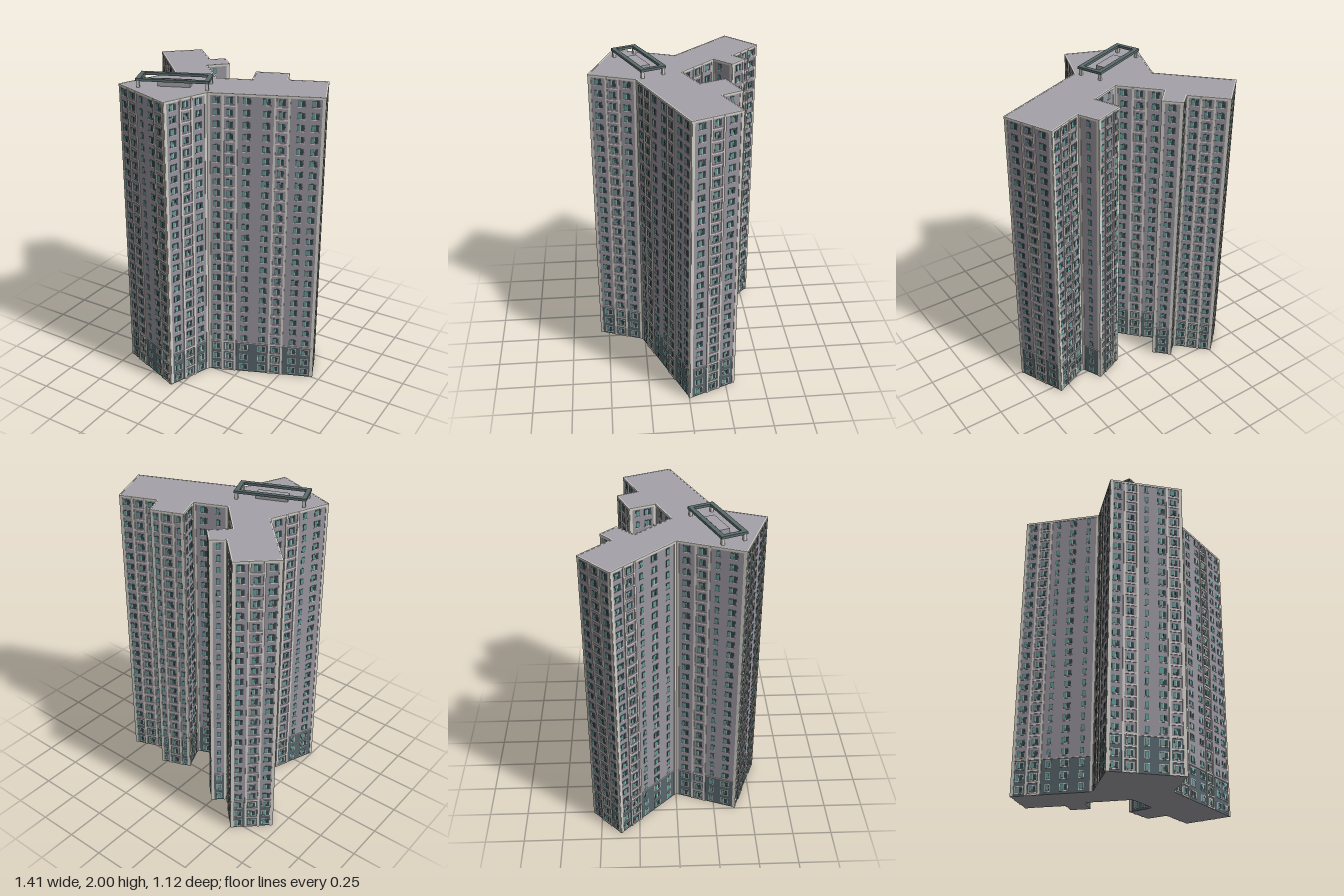
import * as THREE from 'three';
import { mergeGeometries } from 'three/addons/utils/BufferGeometryUtils.js';

const FLOORS = 26, BASE_FLOORS = 3, STEP = 0.0745;
const TOP = FLOORS * STEP, BASE = BASE_FLOORS * STEP;

// Footprint corners [x, z], each with the window columns of the wall that
// starts there: [type, place along the wall seen from outside, left to right].
// w = double window, n = narrow window, b = balcony bay
const PLAN = [
  [-0.505, -0.555, 'w.2 b.5 w.8'],
  [-0.32, -0.367, 'n.5'],
  [-0.245, -0.435, 'w.5'],
  [-0.157, -0.345, 'n.35'],
  [-0.262, -0.238, 'w.18 b.5 w.82'],
  [-0.05, -0.017, 'w.3 n.7'],
  [0.155, -0.105, 'n.3 w.68'],
  [0.09, -0.268, 'n.15 b.5 n.85'],
  [0.283, -0.343, 'n.5'],
  [0.343, -0.213, 'w.17 b.5 w.83'],
  [0.573, -0.308, 'w.2 b.5 w.8'],
  [0.7, -0.004, 'w.08 b.195 w.34 w.51 b.64 w.8 w.92'],
  [0.055, 0.265, 'w.2 b.5 w.8'],
  [-0.055, 0.555, 'w.1 b.29 n.5 w.71 b.88'],
  [-0.493, 0.39, 'w.15 b.38 n.6 w.82'],
  [-0.345, 0, 'w.1 b.27 n.45 w.65 n.86'],
  [-0.703, -0.37, 'w.17 b.5 w.83'],
];

export function createModel() {
  const model = new THREE.Group();
  model.name = 'apartmentTower';
  const mat = (name, color) => {
    const m = new THREE.MeshStandardMaterial({ color });
    m.name = name;
    return m;
  };
  const mats = {
    wall: mat('mauve grey wall', 0x99959f),
    roof: mat('light grey roof', 0xa4a2a9),
    base: mat('slate base', 0x57666c),
    trim: mat('pale stone trim', 0xd2d0c8),
    band: mat('pinkish white band', 0xdccfce),
    frame: mat('slate window frame', 0x56646a),
    glass: mat('dark glass', 0x35454a),
    teal: mat('teal glass', 0x5f9c96),
    steel: mat('grey steel', 0x5a6a6b),
  };
  const mesh = (parent, name, geometry, material) => {
    const m = new THREE.Mesh(geometry, material);
    m.name = name;
    parent.add(m);
  };
  const box = (w, h, d, x, y, z) => new THREE.BoxGeometry(w, h, d).translate(x, y, z);

  // Solid body, clad in slate on the lowest three floors; caps in roof grey
  const outline = new THREE.Shape(PLAN.map(([x, z]) => new THREE.Vector2(x, -z)));
  const prism = (y0, y1) => new THREE.ExtrudeGeometry(outline, { depth: y1 - y0, bevelEnabled: false })
    .rotateX(-Math.PI / 2).translate(0, y0, 0);
  mesh(model, 'baseStorey', prism(0, BASE), [mats.roof, mats.base]);
  mesh(model, 'towerBody', prism(BASE, TOP + 0.006), [mats.roof, mats.wall]);

  // Walls: each group has x along the wall and z pointing outward
  PLAN.forEach(([ax, az, columns], i) => {
    const [bx, bz] = PLAN[(i + 1) % PLAN.length];
    const dx = bx - ax, dz = bz - az, len = Math.hypot(dx, dz);
    const wall = new THREE.Group();
    wall.name = 'facade' + (i + 1);
    wall.position.set(bx, 0, bz);
    wall.rotation.y = Math.atan2(dz, -dx);
    model.add(wall);
    const parts = { trim: [], band: [], frame: [], glass: [], teal: [] };
    const put = (part, ...args) => parts[part].push(box(...args));

    // Corner strips and parapet rim
    for (const x of [0.009, len - 0.009]) put('trim', 0.018, TOP, 0.006, x, TOP / 2, 0);
    put('trim', len + 0.004, 0.014, 0.008, len / 2, TOP, 0);
    // Ledge over the base floors
    put('band', len, 0.004, 0.005, len / 2, BASE, 0.001);

    for (const column of columns.split(' ')) {
      const type = column[0], x = parseFloat(column.slice(1)) * len;
      const w = type === 'n' ? 0.024 : type === 'w' ? 0.046 : 0.04;
      if (type === 'b') {
        for (const s of [-1, 1]) put('trim', 0.013, TOP, 0.008, x + s * 0.041, TOP / 2, 0.002);
      }
      for (let f = 0; f < FLOORS; f++) {
        const y = (f + 0.52) * STEP, h = 0.04;
        // Pale surround on the slate floors, slate frame above
        if (f < BASE_FLOORS) put('trim', w + 0.008, h + 0.008, 0.003, x, y, 0);
        put('frame', w, h, 0.004, x, y, 0.0005);
        // Panes: narrow windows have one, the others a teal and a dark one
        if (type === 'n') {
          put('teal', w - 0.008, h - 0.008, 0.004, x, y, 0.0015);
        } else {
          put('teal', w * 0.36, h - 0.008, 0.004, x - w * 0.23, y, 0.0015);
          put('glass', w * 0.36, h - 0.008, 0.004, x + w * 0.23, y, 0.0015);
          put('trim', w * 0.06, h, 0.004, x, y, 0.002);
        }
        // Balcony floor band or window sill
        if (type === 'b') put('band', 0.072, 0.009, 0.007, x, f * STEP + 0.006, 0.001);
        else put('band', w + 0.004, 0.004, 0.006, x, y - h / 2 - 0.002, 0.001);
      }
    }
    const names = {
      trim: 'pilastersAndRim', band: 'ledges', frame: 'windowFrames',
      glass: 'darkPanes', teal: 'tealPanes',
    };
    for (const key in parts) {
      if (parts[key].length) mesh(wall, names[key], mergeGeometries(parts[key]), mats[key]);
    }
  });

  // Raised rectangular frame on posts, around a plant box
  const crown = new THREE.Group();
  crown.name = 'roofCrown';
  crown.position.set(-0.186, 0, 0.243);
  crown.rotation.y = 0.392;
  model.add(crown);
  const L = 0.446, W = 0.168, T = 0.028;
  const beams = [], posts = [];
  for (const s of [-1, 1]) {
    beams.push(box(L, 0.016, T, 0, 1.992, s * (W - T) / 2));
    beams.push(box(T, 0.016, W - 2 * T, s * (L - T) / 2, 1.992, 0));
    for (const t of [-1, 1]) {
      posts.push(box(0.018, 0.05, 0.018, s * (L - T) / 2, 1.96, t * (W - T) / 2));
    }
  }
  mesh(crown, 'crownFrame', mergeGeometries(beams), mats.steel);
  mesh(crown, 'crownPosts', mergeGeometries(posts), mats.trim);
  mesh(crown, 'plantBox', box(0.2, 0.04, 0.065, 0, 1.956, 0), mats.roof);

  return model;
}
